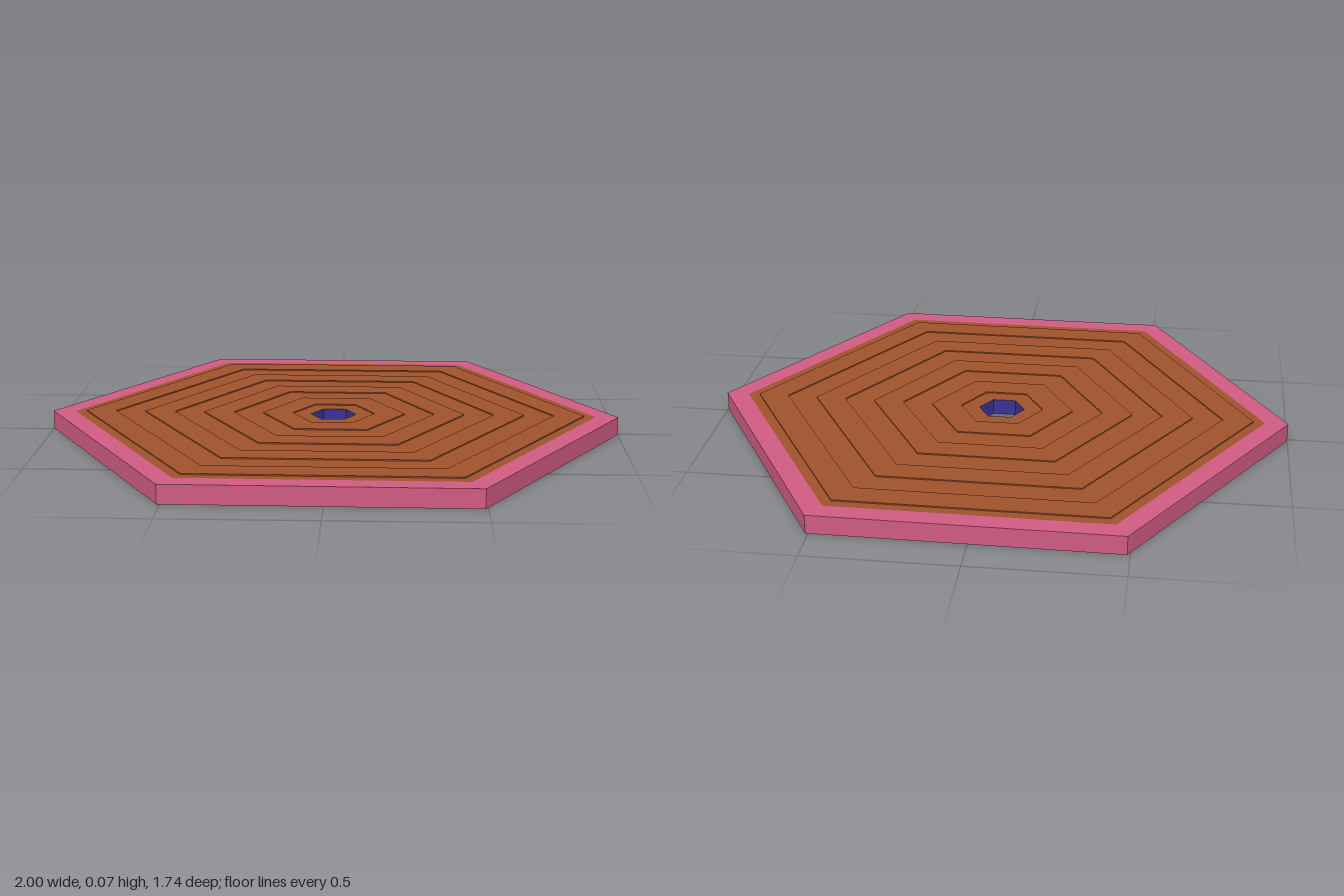
import * as THREE from 'three';

const paint = (name, color) => {
  const m = new THREE.MeshStandardMaterial({ color });
  m.name = name;
  return m;
};

export function createModel() {
  const group = new THREE.Group();
  const pink = paint('pink', 0xd05c82);
  const brown = paint('brown', 0xa0522d);
  const purple = paint('purple', 0x7d5a94);
  const navy = paint('navy', 0x3a3294);
  const black = paint('black', 0x3b302d);

  // Six-sided lathe; profile is [radius, height], running up on outward faces
  const start = Math.PI / 2 - THREE.MathUtils.degToRad(0.6);
  const hex = (name, profile, material) => {
    const points = profile.map(([r, y]) => new THREE.Vector2(r, y));
    const geo = new THREE.LatheGeometry(points, 6, start).toNonIndexed();
    geo.computeVertexNormals();
    const mesh = new THREE.Mesh(geo, material);
    mesh.name = name;
    group.add(mesh);
  };

  const top = 0.064, lip = 0.92, hole = 0.08;

  // Rim: painted outside and top, bare underside, coloured inner wall
  hex('rim', [[1, 0], [1, top], [lip, top]], pink);
  hex('rimUnderside', [[lip, 0], [1, 0]], brown);
  hex('rimInnerWall', [[lip, top - 0.003], [lip, 0]], purple);

  // Thin top plate with four raised hexagonal ridges
  const ridged = (y) => {
    const points = [[lip, y]];
    for (let i = 0; i < 4; i++) {
      const outer = 0.88 - i * 0.21, inner = outer - 0.105;
      points.push([outer, y], [outer, y + 0.004], [inner, y + 0.004], [inner, y]);
    }
    points.push([hole, y]);
    return points;
  };
  hex('topPlate', ridged(top), brown);
  hex('topPlateUnderside', ridged(top - 0.003).reverse(), brown);

  // Lower plate: coloured border around a dark hexagonal panel
  hex('lowerPlateBorder', [[0.64, 0.016], [0.64, 0.012], [0.68, 0.012], [0.68, 0.018], [0.1, 0.018]], navy);
  hex('lowerPanel', [[0.1, 0.015], [0.64, 0.015]], black);

  // Hollow hub joining both plates
  hex('hub', [[hole, top], [hole, 0.009], [0.12, 0.009], [0.12, top - 0.003]], navy);

  return group;
}
